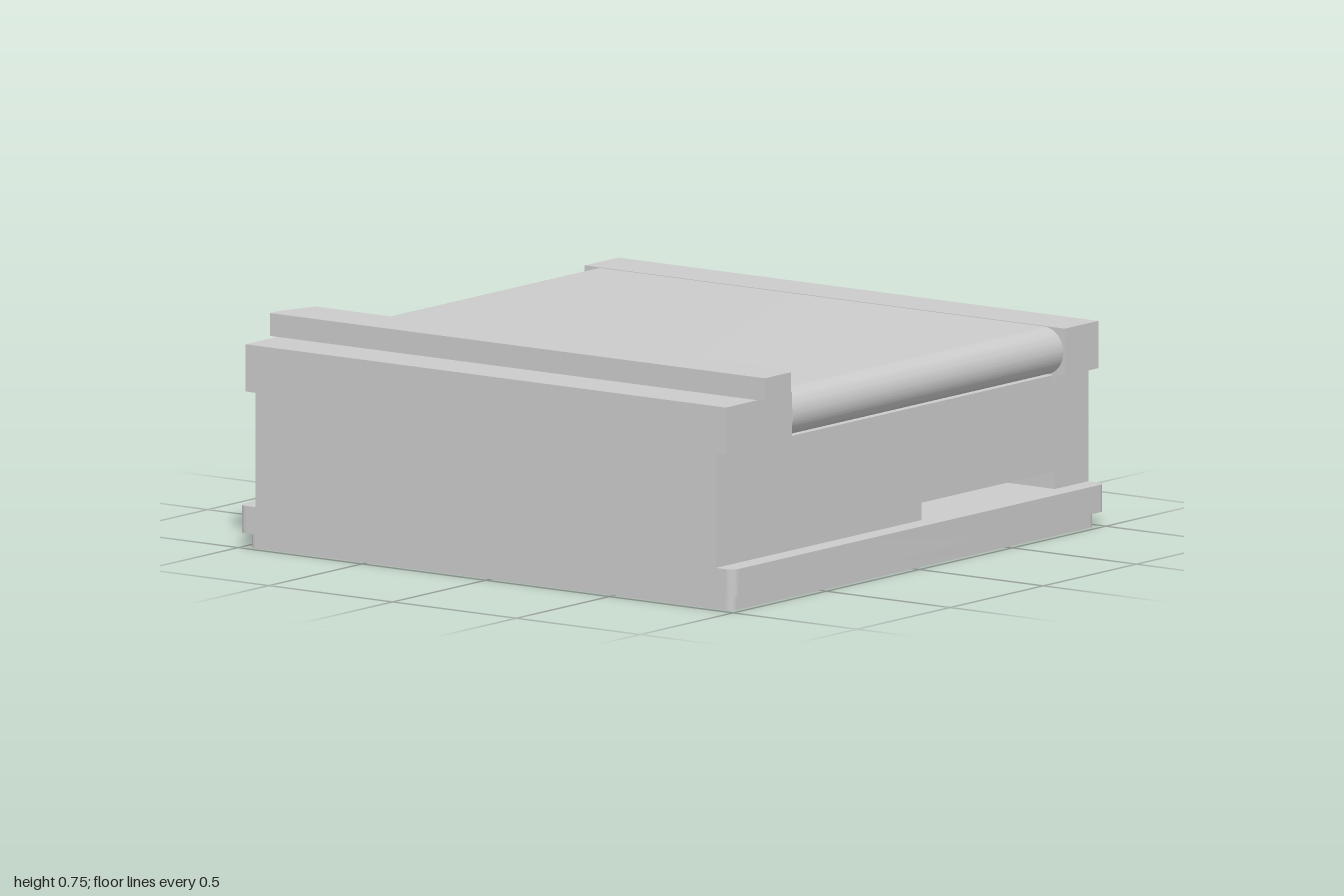
import * as THREE from 'three';
import { toCreasedNormals } from 'three/addons/utils/BufferGeometryUtils.js';

const material = new THREE.MeshStandardMaterial({ color: 0xcccccc });

function add(group, name, geometry) {
  const mesh = new THREE.Mesh(geometry, material);
  mesh.name = name;
  group.add(mesh);
  return mesh;
}

function polygon(points) {
  return new THREE.Shape(points.map(([x, y]) => new THREE.Vector2(x, y)));
}

function extrude(shape, depth) {
  const geometry = new THREE.ExtrudeGeometry(shape, { depth, bevelEnabled: false, curveSegments: 24 });
  return toCreasedNormals(geometry, 0.5);
}

// Square outline with rounded corners
function roundedSquare(h, r) {
  const s = new THREE.Shape();
  s.absarc(h - r, h - r, r, 0, Math.PI / 2);
  s.absarc(-h + r, h - r, r, Math.PI / 2, Math.PI);
  s.absarc(-h + r, -h + r, r, Math.PI, Math.PI * 1.5);
  s.absarc(h - r, -h + r, r, Math.PI * 1.5, Math.PI * 2);
  s.closePath();
  return s;
}

// Plan shape (x, -z) raised from y0 to y1
function slab(shape, y0, y1) {
  return extrude(shape, y1 - y0).rotateX(-Math.PI / 2).translate(0, y0, 0);
}

function box(x0, x1, y0, y1, z) {
  return new THREE.BoxGeometry(x1 - x0, y1 - y0, 2 * z).translate((x0 + x1) / 2, (y0 + y1) / 2, 0);
}

export function createModel() {
  const group = new THREE.Group();
  const railTop = 0.67, railBase = 0.515;
  const channelLeft = -0.645, channelRight = 0.82;
  const beltLeft = -0.638, beltRight = 0.812;

  // Foot: a frame whose open middle forms the recess underneath
  const foot = roundedSquare(0.975, 0.025);
  foot.holes.push(polygon([[-0.835, -0.835], [-0.835, 0.835], [0.835, 0.835], [0.835, -0.835]]));
  add(group, 'footFrame', slab(foot, 0, 0.05));

  add(group, 'basePlate', slab(roundedSquare(1, 0.03), 0.05, 0.14));

  // Body: front profile with a through slot at the bottom and slits beside the belt
  const body = polygon([
    [-1, 0.14], [0.105, 0.14], [0.105, 0.197], [0.82, 0.197], [0.82, 0.14], [1, 0.14],
    [1, railBase], [channelRight, railBase], [channelRight, 0.5], [beltRight, 0.5],
    [beltRight, railBase], [beltLeft, railBase], [beltLeft, 0.5], [channelLeft, 0.5],
    [channelLeft, railBase], [-1, railBase],
  ]);
  add(group, 'body', extrude(body, 1.86).translate(0, 0, -0.93));

  // Side rails
  add(group, 'wideRail', box(-1, channelLeft, railBase, railTop, 0.97));
  add(group, 'narrowRail', box(channelRight, 1, railBase, railTop, 0.97));

  // Belt with half-round ends
  const r = (railTop - railBase) / 2, end = 0.97 - r, mid = railBase + r;
  const belt = new THREE.Shape();
  belt.absarc(end, mid, r, -Math.PI / 2, Math.PI / 2);
  belt.absarc(-end, mid, r, Math.PI / 2, Math.PI * 1.5);
  belt.closePath();
  const beltGeometry = extrude(belt, beltRight - beltLeft).rotateY(-Math.PI / 2).translate(beltRight, 0, 0);
  add(group, 'belt', beltGeometry);

  // Guide fence with angled ends
  const fence = polygon([
    [-0.83, -1], [-0.69, -1], [-0.645, -0.86], [-0.645, 0.955], [-0.78, 1], [-0.83, 1],
  ]);
  add(group, 'guideFence', slab(fence, railTop, 0.745));

  return group;
}
